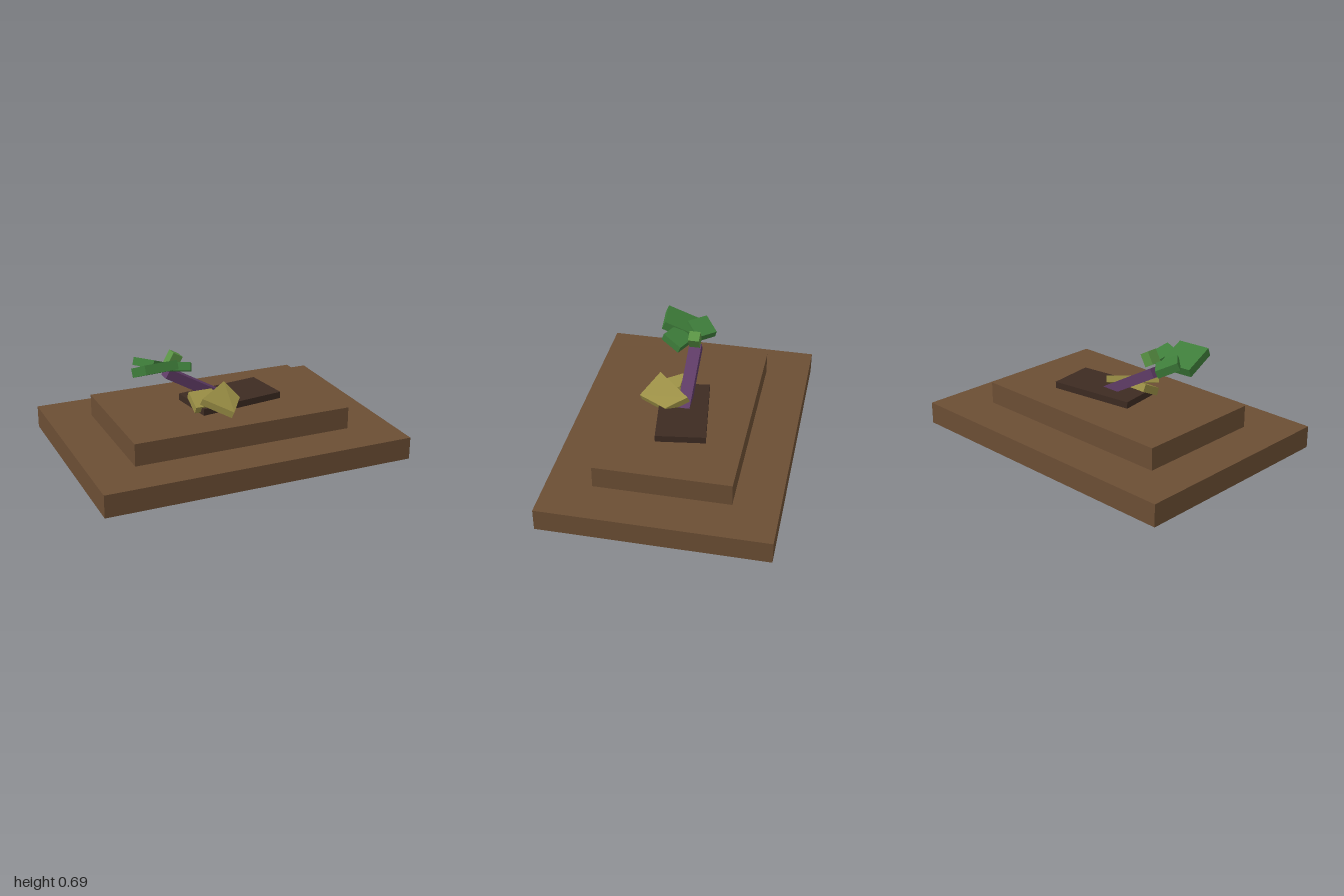
import * as THREE from 'three';
import { ConvexGeometry } from 'three/addons/geometries/ConvexGeometry.js';

function mat(name, color) {
  const m = new THREE.MeshStandardMaterial({ color });
  m.name = name;
  return m;
}

export function createModel() {
  const group = new THREE.Group();
  const earth = mat('earth brown', 0x6b4e34);
  const soil = mat('dark soil', 0x3d2b22);
  const purple = mat('stem purple', 0x5f3c66);
  const green = mat('leaf green', 0x3e7d3a);
  const lightGreen = mat('bud green', 0x5a9444);
  const olive = mat('olive yellow', 0x9a8e45);

  // Box with size, centre and rotation (yaw first, then pitch and roll)
  function box(name, material, size, pos, rot = [0, 0, 0]) {
    const mesh = new THREE.Mesh(new THREE.BoxGeometry(...size), material);
    mesh.name = name;
    mesh.position.set(...pos);
    mesh.rotation.set(...rot, 'YXZ');
    group.add(mesh);
    return mesh;
  }

  // Stepped base and the slab lying on it
  box('lowerBase', earth, [2, 0.143, 1.428], [0, 0.0715, 0]);
  box('upperBase', earth, [1.428, 0.143, 0.856], [0, 0.2145, 0]);
  box('soilSlab', soil, [0.571, 0.043, 0.314], [0.085, 0.3075, -0.003], [0, 0.14, 0]);

  // Leaning stem with a bud at its tip
  box('stem', purple, [0.468, 0.064, 0.08], [-0.148, 0.418, 0], [0, 0, -Math.PI / 6]);
  box('bud', lightGreen, [0.07, 0.086, 0.072], [-0.302, 0.6125, 0], [0, 0, -Math.PI / 6]);

  // Leaves, each tilted up towards its outer end
  const leaves = [
    ['frontLeaf', 0.214, 0.057, [-0.47, 0.618, 0.13], 0.09],
    ['backLeaf', 0.143, 0.05, [-0.457, 0.602, -0.015], -0.86],
    ['innerLeaf', 0.143, 0.05, [-0.305, 0.602, 0.115], -0.43],
  ];
  for (const [name, side, thick, pos, yaw] of leaves) {
    box(name, green, [side, thick, side], pos, [-0.4, yaw, 0]);
  }

  // Large tapered petal resting on the base
  const top = [
    [-0.19, 0.405, 0.205], [0.055, 0.405, -0.025],
    [0.105, 0.335, 0.11], [-0.02, 0.325, 0.305],
  ];
  const points = top.flatMap(([x, y, z]) => [
    new THREE.Vector3(x, y, z),
    new THREE.Vector3(x - 0.012, y - 0.04, z - 0.012),
  ]);
  const petal = new THREE.Mesh(new ConvexGeometry(points), olive);
  petal.name = 'largePetal';
  group.add(petal);

  // Small petal behind it
  box('smallPetal', olive, [0.16, 0.05, 0.14], [-0.14, 0.347, 0.1], [0.45, 0, 0]);

  return group;
}
